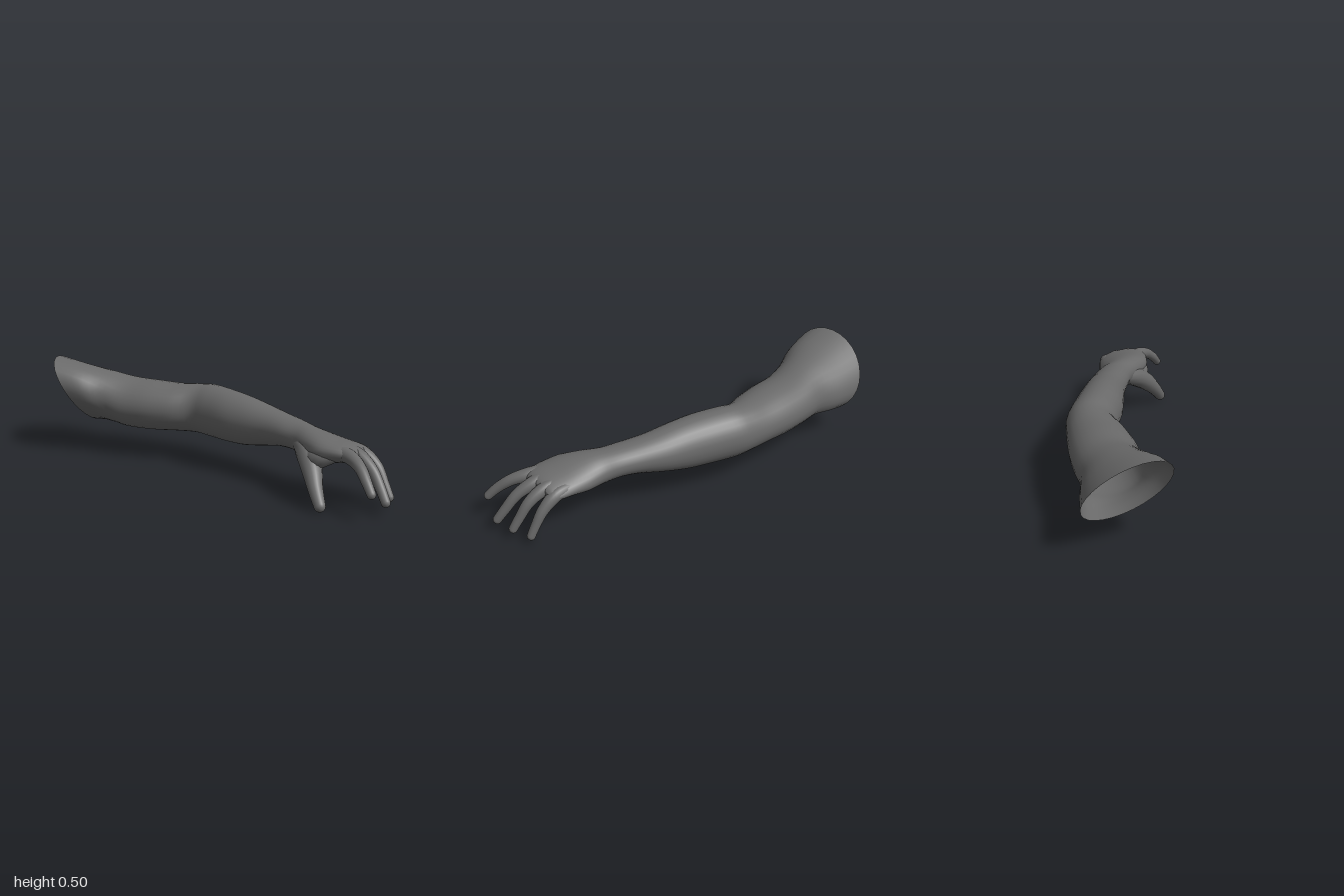
import * as THREE from 'three';

const material = new THREE.MeshStandardMaterial({ color: 0x6a6a6a, side: THREE.DoubleSide });

// Skin a list of closed rings with smooth normals and close the last ring.
function loft(name, rings) {
  const n = rings[0].length, index = [];
  const points = rings.flat();
  for (let i = 0; i < rings.length - 1; i++) {
    for (let j = 0; j < n; j++) {
      const a = i * n + j, b = i * n + (j + 1) % n;
      index.push(a, b, a + n, b, b + n, a + n);
    }
  }
  const centre = new THREE.Vector3();
  rings.at(-1).forEach((p) => centre.addScaledVector(p, 1 / n));
  const base = (rings.length - 1) * n;
  for (let j = 0; j < n; j++) index.push(base + j, base + (j + 1) % n, points.length);
  points.push(centre);
  const geometry = new THREE.BufferGeometry().setFromPoints(points);
  geometry.setIndex(index);
  geometry.computeVertexNormals();
  const mesh = new THREE.Mesh(geometry, material);
  mesh.name = name;
  return mesh;
}

// Smooth interpolation through rows of numbers.
function sampleRows(rows, t) {
  const s = t * (rows.length - 1), i = Math.min(Math.floor(s), rows.length - 2), u = s - i;
  const row = (k) => rows[Math.max(0, Math.min(rows.length - 1, k))];
  return rows[0].map((_, c) => {
    const [a, b, d, e] = [row(i - 1)[c], row(i)[c], row(i + 1)[c], row(i + 2)[c]];
    return b + 0.5 * u * (d - a + u * (2 * a - 5 * b + 4 * d - e + u * (3 * (b - d) + e - a)));
  });
}

// Arm sections: x, back z, front z, bottom y, top y, then slant of x over y,
// shear of y over z and swing of x over z (0 where left out)
const armSections = [
  [-0.905, -0.378, 0.034, 0.155, 0.487, -0.6, 0.3, 0.25],
  [-0.79, -0.364, 0.016, 0.158, 0.458, -0.4, 0.25, 0.15],
  [-0.68, -0.342, -0.02, 0.15, 0.432, -0.2, 0.12, 0.05],
  [-0.57, -0.352, -0.028, 0.14, 0.405],
  [-0.43, -0.354, -0.034, 0.138, 0.4],
  [-0.3, -0.346, -0.055, 0.145, 0.396],
  [-0.19, -0.335, -0.088, 0.145, 0.402],
  [-0.1, -0.322, -0.062, 0.14, 0.41],
  [0.02, -0.278, -0.018, 0.138, 0.404],
  [0.14, -0.23, 0.01, 0.142, 0.39],
  [0.27, -0.178, 0.04, 0.166, 0.365],
  [0.38, -0.124, 0.08, 0.187, 0.346],
  [0.47, -0.08, 0.118, 0.187, 0.334],
  [0.55, -0.045, 0.178, 0.168, 0.325, 0, 0.05],
  [0.63, -0.035, 0.23, 0.165, 0.313, 0, 0.08],
  [0.71, -0.022, 0.245, 0.182, 0.298, 0, 0.1],
  [0.77, -0.01, 0.243, 0.19, 0.287, 0, 0.12],
  [0.81, 0.003, 0.23, 0.2, 0.273, 0, 0.12],
  [0.828, 0.03, 0.2, 0.218, 0.255, 0, 0.1],
].map((row) => Array.from({ length: 8 }, (_, i) => row[i] ?? 0));

function armRing([x, back, front, bottom, top, slant, shear, swing], sides = 28) {
  return Array.from({ length: sides }, (_, j) => {
    const a = (j / sides) * Math.PI * 2;
    const dz = Math.sin(a) * (front - back) / 2;
    const dy = Math.cos(a) * (top - bottom) / 2 + shear * dz;
    return new THREE.Vector3(x + slant * dy + swing * dz, (top + bottom) / 2 + dy, (front + back) / 2 + dz);
  });
}

// A tapered, round-tipped digit along a curve; each node is x, y, z, radius.
function digit(name, nodes, sides = 14, steps = 22) {
  const curve = new THREE.CatmullRomCurve3(nodes.map((p) => new THREE.Vector3(p[0], p[1], p[2])));
  const length = curve.getLength();
  const tip = nodes.at(-1)[3];
  // Even spacing along the digit, then finer rings around the tip
  const stops = [];
  for (let i = 0; i <= steps; i++) stops.push((i / steps) * (1 - tip / length));
  for (let i = 1; i <= 5; i++) stops.push(1 - (tip / length) * (1 - Math.sin(i * Math.PI / 10.6)));
  const normal = new THREE.Vector3(), binormal = new THREE.Vector3();
  const side = new THREE.Vector3(0, 0, 1);
  const rings = stops.map((u) => {
    const centre = curve.getPointAt(u), tangent = curve.getTangentAt(u);
    binormal.crossVectors(tangent, side).normalize();
    normal.crossVectors(binormal, tangent);
    const k = Math.max(0, 1 - (1 - u) * length / tip);
    const r = sampleRows(nodes, curve.getUtoTmapping(u))[3] * Math.sqrt(1 - k * k);
    return Array.from({ length: sides }, (_, j) => {
      const a = (j / sides) * Math.PI * 2;
      return centre.clone()
        .addScaledVector(normal, Math.cos(a) * r)
        .addScaledVector(binormal, Math.sin(a) * r);
    });
  });
  return loft(name, rings);
}

export function createModel() {
  const group = new THREE.Group();
  group.name = 'arm';

  // Open shoulder, upper arm, forearm and palm in one skin
  const steps = 72;
  const rings = Array.from({ length: steps + 1 }, (_, i) => armRing(sampleRows(armSections, i / steps)));
  group.add(loft('armAndPalm', rings));

  // Fingers bending down from the knuckles, the thumb, and the web beside it
  const digits = {
    littleFinger: [[0.7, 0.235, 0.02, 0.032], [0.79, 0.222, 0.03, 0.034],
      [0.86, 0.165, 0.042, 0.028], [0.905, 0.09, 0.052, 0.023], [0.937, 0.024, 0.06, 0.021]],
    ringFinger: [[0.7, 0.245, 0.065, 0.032], [0.8, 0.24, 0.087, 0.034],
      [0.885, 0.19, 0.11, 0.028], [0.935, 0.11, 0.132, 0.024], [0.975, 0.038, 0.15, 0.021]],
    middleFinger: [[0.7, 0.245, 0.13, 0.034], [0.8, 0.246, 0.152, 0.035],
      [0.89, 0.195, 0.193, 0.028], [0.945, 0.12, 0.225, 0.025], [0.99, 0.046, 0.256, 0.022]],
    indexFinger: [[0.68, 0.247, 0.18, 0.036], [0.78, 0.249, 0.212, 0.036],
      [0.86, 0.222, 0.274, 0.029], [0.91, 0.175, 0.325, 0.025], [0.957, 0.115, 0.368, 0.021]],
    thumb: [[0.48, 0.255, 0.06, 0.04], [0.55, 0.222, 0.135, 0.054],
      [0.606, 0.165, 0.21, 0.05], [0.652, 0.092, 0.278, 0.037], [0.705, 0.006, 0.336, 0.027]],
    thumbWeb: [[0.58, 0.2, 0.16, 0.05], [0.64, 0.213, 0.196, 0.045], [0.73, 0.242, 0.19, 0.03]],
  };
  for (const [name, nodes] of Object.entries(digits)) group.add(digit(name, nodes));
  return group;
}
